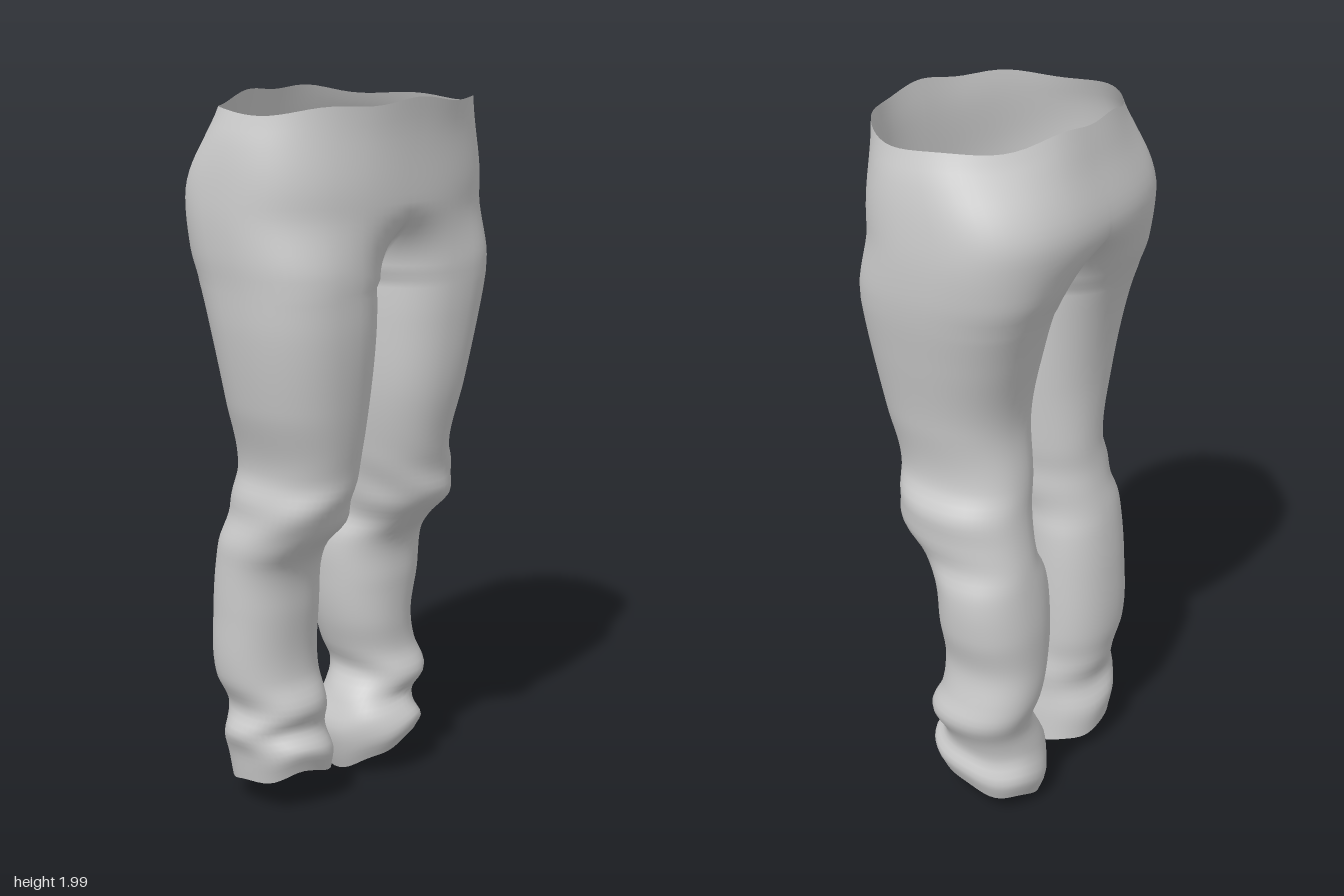
import * as THREE from 'three';
import { mergeGeometries, mergeVertices } from 'three/addons/utils/BufferGeometryUtils.js';

const CROTCH = 1.53, TOP = 1.975;
const SEGS = 48, OUTER = 42;          // ring points; 0..OUTER run front -> outside -> back
const START = -Math.PI * 3 / 8;       // ring angle of the front crotch seam
const UPPER_ROWS = 20, LOWER_ROWS = 76;

// Profile rows: height, inner x, outer x, front z, back z
const hips = [
  [1.98, 0, .365, .31, -.24], [1.9, 0, .39, .297, -.262], [1.73, 0, .412, .288, -.307],
  [1.6, 0, .41, .276, -.268], [CROTCH, 0, .402, .272, -.235],
];
const leftLeg = {
  side: 1, hem: [.061, .035, .0325, .0138],   // mean, front/back, outer/inner, twice round
  rows: [
    [1.4, 0, .377, .265, -.192], [1.2, .01, .337, .25, -.15], [1.02, .035, .318, .212, -.17],
    [.95, .05, .35, .2, -.18], [.87, .065, .345, .185, -.195], [.8, .075, .338, .12, -.21],
    [.74, .05, .355, .07, -.22], [.6, .045, .352, .055, -.235], [.48, .06, .328, .05, -.235],
    [.38, .09, .345, .05, -.235], [.31, .113, .362, .075, -.22], [.24, .07, .325, .06, -.205],
    [.18, .042, .318, .08, -.215], [.12, .055, .333, .1, -.235], [.06, .08, .312, .075, -.215],
  ],
};
const rightLeg = {
  side: -1, hem: [.086, .0275, .02, .016],
  rows: [
    [1.4, 0, .39, .265, -.192], [1.2, .005, .355, .235, -.158], [1, .025, .305, .2, -.155],
    [.93, .035, .325, .19, -.16], [.87, .04, .328, .17, -.17], [.8, .05, .345, .11, -.185],
    [.74, .045, .345, .07, -.195], [.6, .04, .345, .05, -.21], [.4, .04, .335, .045, -.215],
    [.31, .04, .302, .08, -.2], [.24, .035, .325, .06, -.19], [.17, .03, .305, .1, -.21],
    [.085, .025, .29, .08, -.2],
  ],
};

const { lerp, smoothstep } = THREE.MathUtils;
const softPow = (v, p) => Math.sign(v) * Math.pow(Math.abs(v), p);
const bump = (y, centre, width) => Math.exp(-(((y - centre) / width) ** 2));

// Smooth lookup of the profile at any height
function profile(rows) {
  const up = [...hips, ...rows].reverse();
  const spline = new THREE.CubicInterpolant(up.map(r => r[0]), up.flatMap(r => r.slice(1)), 4, new Float32Array(4));
  return y => Array.from(spline.evaluate(y));
}

// One half of the garment: half of the hips, running into a closed leg tube
function halfGeometry({ side, hem, rows }) {
  const at = profile(rows), pos = [], index = [];
  const total = UPPER_ROWS + LOWER_ROWS;

  for (let i = 0; i <= total; i++) {
    const above = i <= UPPER_ROWS;
    const y0 = above ? lerp(TOP, CROTCH, i / UPPER_ROWS)
      : lerp(CROTCH, hem[0], (i - UPPER_ROWS) / LOWER_ROWS);
    const [inner, outer, front, back] = at(y0);
    const cx = (inner + outer) / 2, rx = (outer - inner) / 2;
    const cz = (front + back) / 2, rz = (front - back) / 2;
    const legBlend = 1 - smoothstep(y0, CROTCH, 1.72);
    const legPow = lerp(.92, .84, smoothstep(y0, 1, 1.5));
    const waist = smoothstep(y0, 1.75, 1.97);
    // folds gather at the front of the knee and all round the ankle
    const kneeFold = .03 * bump(y0, .9, .09), ankleFold = .03 * bump(y0, .25, .08);
    const ringX = a => softPow(Math.sin(a), legPow);
    const ringZ = a => softPow(Math.cos(a), legPow);

    for (let j = 0; j < SEGS; j++) {
      const a = START + j * 2 * Math.PI / SEGS;
      let x, z, y = y0;
      if (above && j > OUTER) {
        // crotch seam, straight from back to front
        x = 0;
        z = cz + rz * lerp(ringZ(Math.PI - START), ringZ(START), (j - OUTER) / (SEGS - OUTER));
      } else if (above) {
        // hip curve, with the groove between the thighs deepening downwards
        const seam = j === 0 || j === OUTER;
        const u = seam ? 0 : Math.max(0, (ringX(a) - ringX(START)) / (1 - ringX(START)));
        const n = lerp(Math.cos(a) > 0 ? 2.45 : 2.8, 2.08, waist);
        const hipZ = Math.sign(Math.cos(a)) * Math.pow(Math.max(0, 1 - u ** n), 1 / n);
        x = outer * u;
        z = cz + rz * lerp(hipZ, ringZ(a), legBlend);
      } else {
        const foldSize = kneeFold * (.5 + .5 * Math.cos(a)) + ankleFold;
        const fold = 1 + foldSize * Math.sin(y0 * 42 + 2 * a + 1.6 * Math.sin(a + side));
        x = cx + rx * ringX(a) * fold;
        z = cz + rz * ringZ(a) * fold;
      }
      x *= side;
      z *= 1 + .2 * x * smoothstep(y0, 1.1, 1.5);
      // wavy waist and sagging hem
      const round = Math.atan2(x, z);
      y += smoothstep(y0, 1.8, TOP) * (.015 * Math.cos(2 * round) + .006 * Math.cos(7 * round + 1.5 * x));
      const [, fb, oi, twice] = hem;
      y += (1 - smoothstep(y0, hem[0], .3)) *
        (fb * Math.cos(a) + oi * Math.sin(a) + twice * Math.cos(2 * a) + .006 * Math.sin(5 * a));
      pos.push(x, y, z);
    }
  }

  for (let i = 0; i < total; i++) {
    const count = i < UPPER_ROWS ? OUTER : SEGS;
    for (let j = 0; j < count; j++) {
      const a = i * SEGS + j, b = i * SEGS + (j + 1) % SEGS;
      const c = a + SEGS, d = b + SEGS;
      if (side > 0) index.push(a, c, b, b, c, d);
      else index.push(a, b, c, b, d, c);
    }
  }
  const g = new THREE.BufferGeometry();
  g.setAttribute('position', new THREE.Float32BufferAttribute(pos, 3));
  g.setIndex(index);
  return g;
}

export function createModel() {
  const group = new THREE.Group();
  group.name = 'trousers';
  // Weld both halves along the centre seam so the cloth shades smoothly
  const cloth = mergeVertices(mergeGeometries([halfGeometry(leftLeg), halfGeometry(rightLeg)]), 1e-4);
  cloth.computeVertexNormals();
  const mesh = new THREE.Mesh(cloth, new THREE.MeshStandardMaterial({ color: 0xcccccc, side: THREE.DoubleSide }));
  mesh.name = 'trouserCloth';
  group.add(mesh);
  return group;
}
